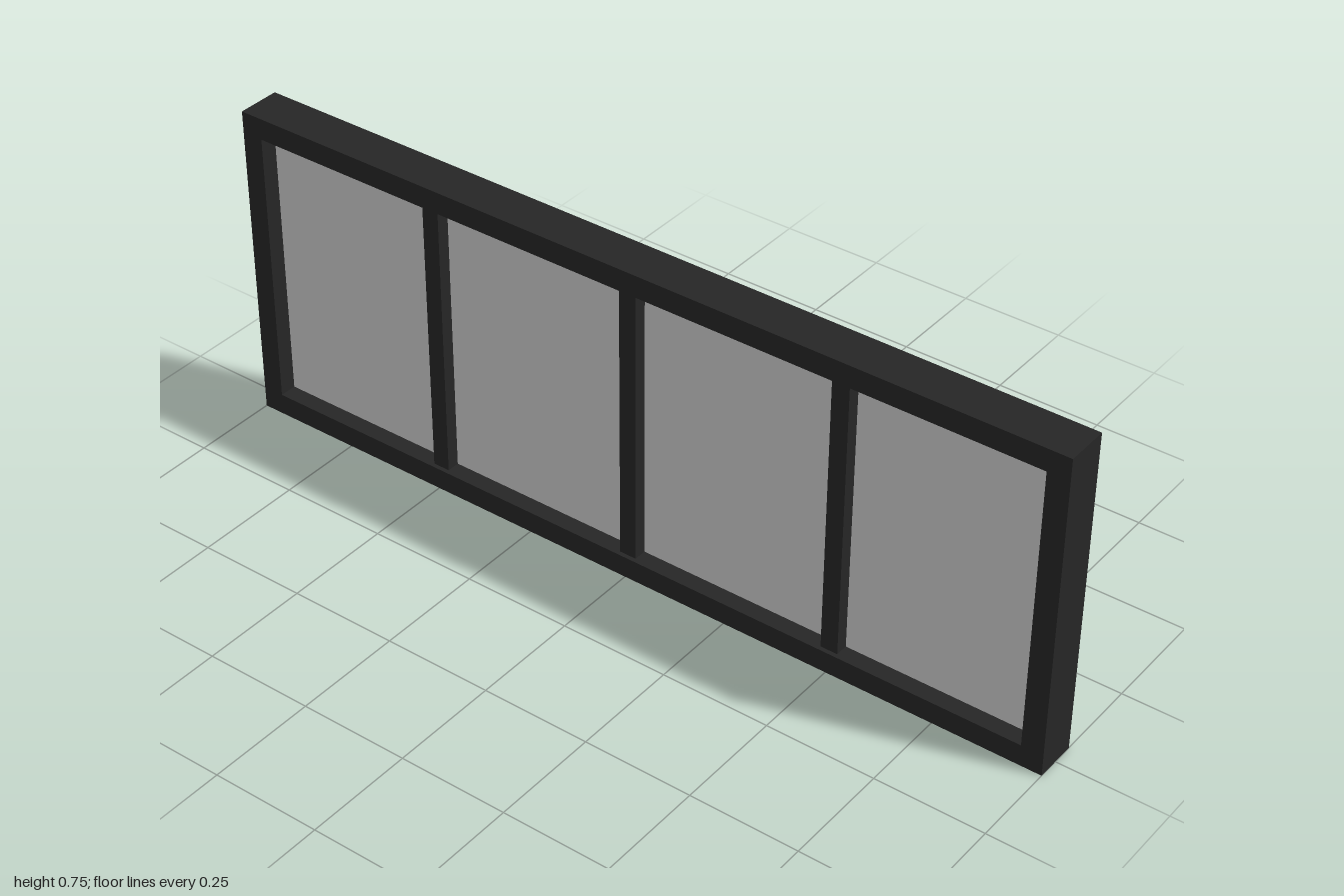
import * as THREE from 'three';

const W = 2, H = 0.75, D = 0.1;   // overall size
const RAIL = 0.05;                // outer frame face width
const BAR = 0.04, BAR_D = 0.08;   // mullion width and depth
const GLASS_D = 0.02;
const BAYS = 4;

export function createModel() {
  const group = new THREE.Group();
  const dark = new THREE.MeshStandardMaterial({ color: 0x262626 });
  const grey = new THREE.MeshStandardMaterial({ color: 0xcccccc });

  // Outer frame: one rectangle with a rectangular opening
  const outline = new THREE.Shape([
    new THREE.Vector2(-W / 2, 0), new THREE.Vector2(W / 2, 0),
    new THREE.Vector2(W / 2, H), new THREE.Vector2(-W / 2, H),
  ]);
  const x = W / 2 - RAIL;
  outline.holes.push(new THREE.Path([
    new THREE.Vector2(-x, RAIL), new THREE.Vector2(-x, H - RAIL),
    new THREE.Vector2(x, H - RAIL), new THREE.Vector2(x, RAIL),
  ]));
  const frameGeometry = new THREE.ExtrudeGeometry(outline, { depth: D, bevelEnabled: false });
  frameGeometry.translate(0, 0, -D / 2);
  const frame = new THREE.Mesh(frameGeometry, dark);
  frame.name = 'outerFrame';
  group.add(frame);

  // Upright box that fills the height of the opening between two x positions
  const upright = (name, x0, x1, depth, material) => {
    const mesh = new THREE.Mesh(new THREE.BoxGeometry(x1 - x0, H - 2 * RAIL, depth), material);
    mesh.position.set((x0 + x1) / 2, H / 2, 0);
    mesh.name = name;
    group.add(mesh);
  };

  // Panes, with a mullion between each pair
  for (let i = 0; i < BAYS; i++) {
    const left = -W / 2 + (i * W) / BAYS;
    const right = left + W / BAYS;
    const x0 = left + (i === 0 ? RAIL : BAR / 2);
    const x1 = right - (i === BAYS - 1 ? RAIL : BAR / 2);
    upright(`glassPane${i + 1}`, x0, x1, GLASS_D, grey);
    if (i > 0) upright(`mullion${i}`, left - BAR / 2, left + BAR / 2, BAR_D, dark);
  }
  return group;
}
